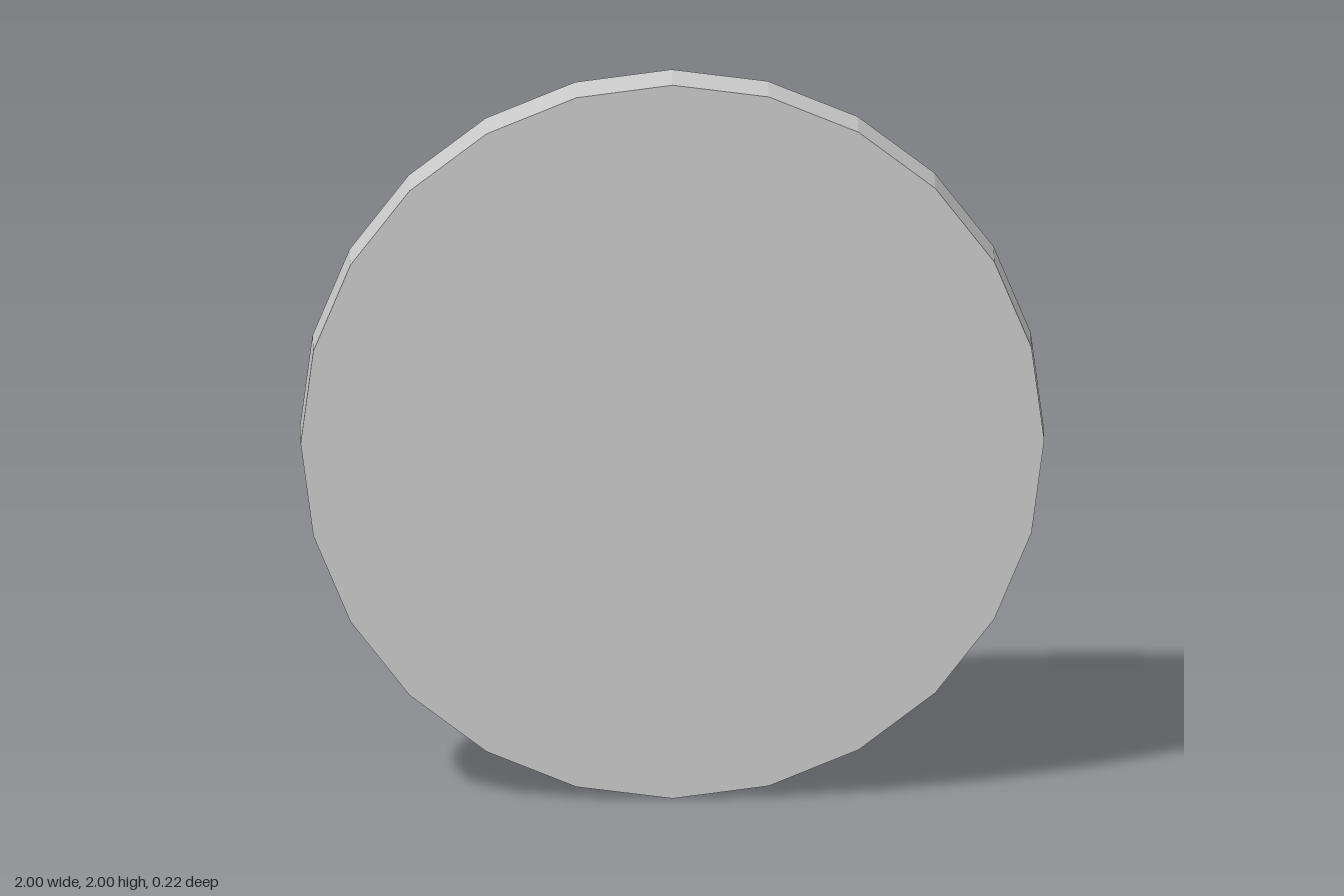
import * as THREE from 'three';

const material = new THREE.MeshStandardMaterial({ color: 0xcccccc, flatShading: true });

// Upright disc spanning zBack (towards -z) to zFront
function disc(name, radius, zBack, zFront, sides) {
  const geo = new THREE.CylinderGeometry(radius, radius, zFront - zBack, sides);
  geo.rotateX(Math.PI / 2);
  geo.translate(0, 0, (zBack + zFront) / 2);
  const mesh = new THREE.Mesh(geo, material);
  mesh.name = name;
  return mesh;
}

// Four-sided ridged bar lying on the dial, pointing outward at an angle from +x
function bar(name, radius, inner, outer, degrees, z) {
  const geo = new THREE.CylinderGeometry(radius, radius, outer - inner, 4);
  geo.translate(0, (inner + outer) / 2, 0);
  geo.rotateZ(THREE.MathUtils.degToRad(degrees - 90));
  geo.translate(0, 0, z);
  const mesh = new THREE.Mesh(geo, material);
  mesh.name = name;
  return mesh;
}

export function createModel() {
  const clock = new THREE.Group();
  clock.name = 'wallClock';

  // Case and raised dial, facing -z
  clock.add(disc('case', 1, -0.04, 0.11, 24));
  clock.add(disc('dial', 0.83, -0.06, -0.03, 24));

  // Hour marks, heavier at the quarters
  for (let i = 0; i < 12; i++) {
    const quarter = i % 3 === 0;
    clock.add(bar(quarter ? 'quarterMark' : 'hourMark', quarter ? 0.029 : 0.019, 0.65, 0.77, i * 30, -0.062));
  }

  // Hands and centre cap
  clock.add(bar('minuteHand', 0.02, 0, 0.65, 30, -0.081));
  clock.add(bar('hourHand', 0.03, 0, 0.43, -35, -0.08));
  clock.add(disc('centreCap', 0.05, -0.112, -0.05, 12));

  // Stand the clock on the ground
  clock.children.forEach((part) => { part.position.y = 1; });
  return clock;
}
